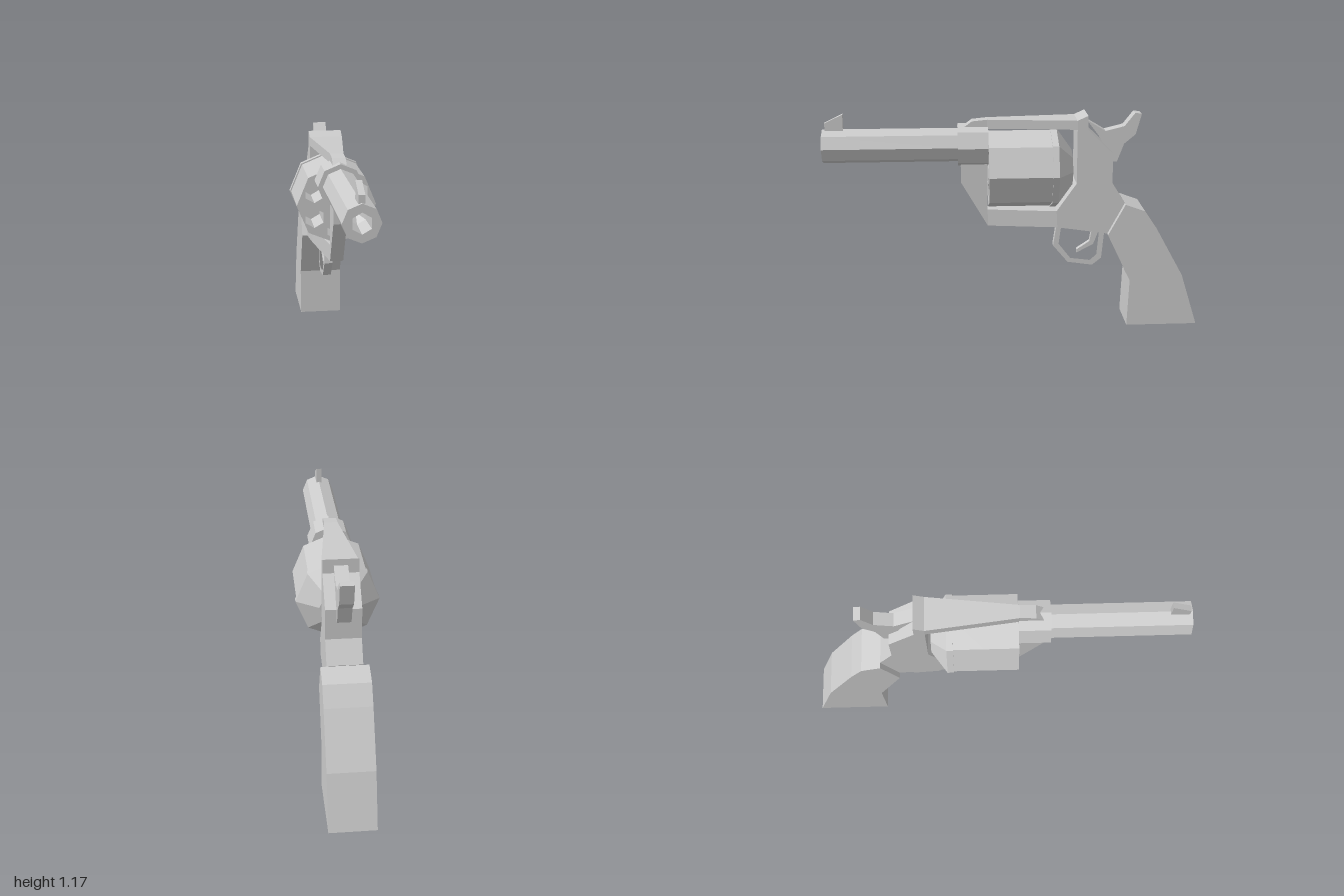
import * as THREE from 'three';

const material = new THREE.MeshStandardMaterial({ color: 0xcccccc, flatShading: true });
const openMaterial = new THREE.MeshStandardMaterial({ color: 0xcccccc, flatShading: true, side: THREE.DoubleSide });

const toPoints = (pairs) => pairs.map(([a, b]) => new THREE.Vector2(a, b));

// Regular polygon outline, first corner at the given angle
function polygon(sides, radius, cx = 0, cy = 0, start = Math.PI / 2) {
  return Array.from({ length: sides }, (_, i) => {
    const a = start + (i / sides) * Math.PI * 2;
    return new THREE.Vector2(cx + Math.cos(a) * radius, cy + Math.sin(a) * radius);
  });
}

function add(group, name, geometry, mat = material) {
  const mesh = new THREE.Mesh(geometry, mat);
  mesh.name = name;
  group.add(mesh);
  return mesh;
}

// Side profile given as [z, y], extruded evenly to both sides of x = 0
function sideProfile(profile, halfWidth, hole) {
  const shape = new THREE.Shape(toPoints(profile));
  if (hole) shape.holes.push(new THREE.Path(toPoints(hole)));
  const geometry = new THREE.ExtrudeGeometry(shape, { depth: 2 * halfWidth, bevelEnabled: false });
  return geometry.translate(0, 0, -halfWidth).rotateY(-Math.PI / 2);
}

// Narrows a strap linearly from its rear width to its front width
function taper(geometry, zFront, zRear, wFront, wRear) {
  const p = geometry.attributes.position;
  for (let i = 0; i < p.count; i++) {
    const t = THREE.MathUtils.clamp((zFront - p.getZ(i)) / (zFront - zRear), 0, 1);
    p.setX(i, Math.sign(p.getX(i)) * THREE.MathUtils.lerp(wFront, wRear, t));
  }
  geometry.computeVertexNormals();
  return geometry;
}

// Faceted cylinder along z between two stations; a corner points straight up
function tubeZ(rFront, rRear, zFront, zRear, y, sides = 8, open = false) {
  return new THREE.CylinderGeometry(rFront, rRear, zFront - zRear, sides, 1, open)
    .rotateX(Math.PI / 2)
    .translate(0, y, (zFront + zRear) / 2);
}

export function createModel() {
  const model = new THREE.Group();
  model.name = 'revolver';

  // Barrel with an open muzzle and a bore that closes to a point
  const barrel = new THREE.Group();
  barrel.name = 'barrel';
  model.add(barrel);
  add(barrel, 'barrelSides', tubeZ(0.09, 0.09, 1, 0.28, 1, 8, true));
  const muzzle = new THREE.Shape(polygon(8, 0.09));
  muzzle.holes.push(new THREE.Path(polygon(6, 0.05)));
  add(barrel, 'muzzleFace', new THREE.ShapeGeometry(muzzle).translate(0, 1, 1));
  add(barrel, 'bore', tubeZ(0.05, 0.045, 1, 0.85, 1, 6, true), openMaterial);
  add(barrel, 'boreEnd', tubeZ(0.045, 0, 0.85, 0.8, 1, 6, true), openMaterial);
  add(barrel, 'barrelCollar', tubeZ(0.115, 0.115, 0.295, 0.135, 1));
  add(barrel, 'frontSight', sideProfile(
    [[0.985, 1.07], [0.985, 1.125], [0.89, 1.17], [0.89, 1.07]], 0.015));

  // Cylinder with six chambers, rear rim and tapered back
  const cylinder = new THREE.Group();
  cylinder.name = 'cylinder';
  cylinder.position.y = 0.865;
  model.add(cylinder);
  const drum = new THREE.Shape(polygon(8, 0.208));
  for (const c of polygon(6, 0.134)) drum.holes.push(new THREE.Path(polygon(6, 0.054, c.x, c.y)));
  add(cylinder, 'chambers', new THREE.ExtrudeGeometry(drum, { depth: 0.18, bevelEnabled: false })
    .translate(0, 0, -0.045));
  add(cylinder, 'drumRear', tubeZ(0.208, 0.208, -0.045, -0.2, 0));
  add(cylinder, 'rim', tubeZ(0.215, 0.215, -0.195, -0.228, 0));
  add(cylinder, 'drumTaper', tubeZ(0.215, 0.1, -0.228, -0.31, 0));

  // Frame around the cylinder window
  const frame = new THREE.Group();
  frame.name = 'frame';
  model.add(frame);
  add(frame, 'frameFront', sideProfile(
    [[0.28, 0.8], [0.28, 1.1], [0.26, 1.1], [0.22, 1.13], [0.14, 1.138], [0.14, 0.56]], 0.035));
  add(frame, 'topStrap', taper(sideProfile(
    [[0.14, 1.09], [0.14, 1.138], [-0.33, 1.138], [-0.33, 1.09]], 0.09), 0.14, -0.33, 0.035, 0.09));
  add(frame, 'bottomStrap', taper(sideProfile(
    [[0.14, 0.56], [0.14, 0.65], [-0.225, 0.65], [-0.23, 0.56]], 0.09), 0.14, -0.225, 0.035, 0.09));
  add(frame, 'frameRear', sideProfile(
    [[-0.23, 0.56], [-0.225, 0.65], [-0.33, 0.8], [-0.33, 1.138], [-0.385, 1.163], [-0.385, 1.09],
      [-0.52, 0.96], [-0.52, 0.8], [-0.59, 0.69], [-0.5, 0.52]], 0.09));

  // Hammer with its thumb spur
  add(model, 'hammer', sideProfile(
    [[-0.385, 1.13], [-0.485, 1.07], [-0.585, 1.095], [-0.64, 1.165], [-0.675, 1.16], [-0.645, 1.05],
      [-0.585, 1.0], [-0.55, 0.905], [-0.5, 0.9], [-0.46, 1.03]], 0.035));

  // Trigger and its guard
  add(model, 'triggerGuard', sideProfile(
    [[-0.235, 0.57], [-0.215, 0.435], [-0.295, 0.34], [-0.43, 0.32], [-0.48, 0.36], [-0.495, 0.53]], 0.023,
    [[-0.257, 0.54], [-0.245, 0.445], [-0.31, 0.362], [-0.417, 0.348], [-0.453, 0.38], [-0.465, 0.515]]));
  add(model, 'trigger', sideProfile(
    [[-0.43, 0.54], [-0.415, 0.455], [-0.345, 0.408], [-0.345, 0.39], [-0.435, 0.437], [-0.47, 0.53]], 0.015));

  // Grip
  add(model, 'grip', sideProfile(
    [[-0.59, 0.688], [-0.695, 0.65], [-0.76, 0.555], [-0.91, 0.285], [-1, 0], [-0.615, 0],
      [-0.625, 0.26], [-0.5, 0.52]], 0.12));

  return model;
}
